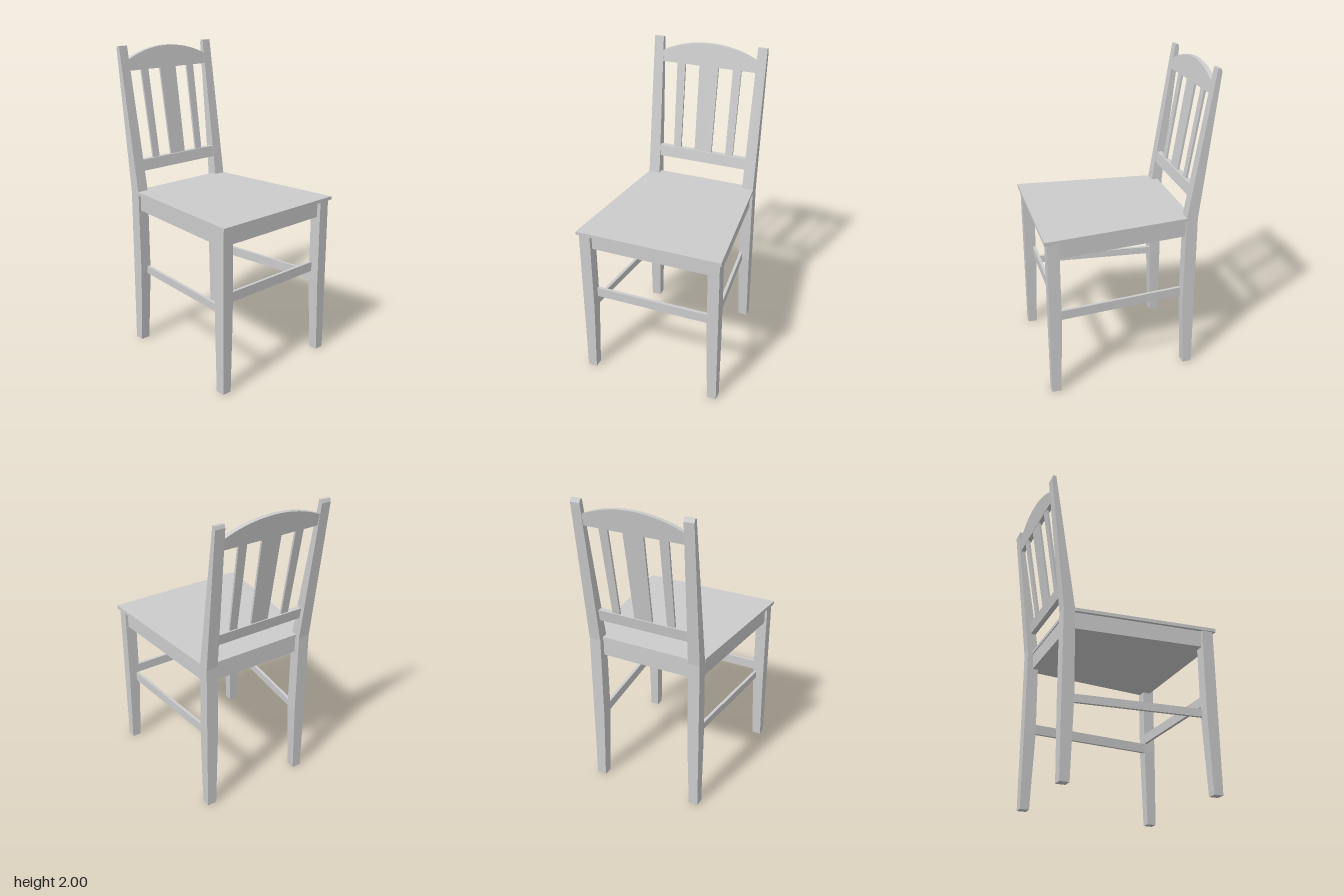
import * as THREE from 'three';

const material = new THREE.MeshStandardMaterial({ color: 0xcccccc, flatShading: true });

// Front face of the leaning backrest at a given height
const lean = (y) => -0.37 - (y - 1.06) * 0.16;

// Solid through matching convex rings of [x, y, z] points, always facing outwards
function loft(rings) {
  const tris = [], n = rings[0].length, last = rings[rings.length - 1];
  for (let r = 0; r + 1 < rings.length; r++) {
    const a = rings[r], b = rings[r + 1];
    for (let i = 0; i < n; i++) {
      const j = (i + 1) % n;
      tris.push([a[i], b[i], b[j]], [a[i], b[j], a[j]]);
    }
  }
  for (let i = 1; i + 1 < n; i++) {
    tris.push([rings[0][0], rings[0][i], rings[0][i + 1]], [last[0], last[i + 1], last[i]]);
  }
  const volume = tris.reduce((sum, t) => {
    const [a, b, c] = t.map((p) => new THREE.Vector3(...p));
    return sum + a.dot(b.cross(c));
  }, 0);
  if (volume < 0) tris.forEach((t) => t.reverse());
  const geometry = new THREE.BufferGeometry();
  geometry.setAttribute('position', new THREE.Float32BufferAttribute(tris.flat(2), 3));
  geometry.computeVertexNormals();
  return geometry;
}

// Level rectangle at height y
const rect = (y, x0, x1, z0, z1) => [[x0, y, z0], [x1, y, z0], [x1, y, z1], [x0, y, z1]];

// Upright rectangle of the leaning back: recess behind its front face and thickness
const leaning = (y0, y1, z0, z1, recess, t) => loft([y0, y1].map((y, i) =>
  rect(y, lean(y) - recess - t, lean(y) - recess, z0[i], z1[i])));

// Level board: one half of an outline of [x, z] points, mirrored in z
function board(half, y, height) {
  const outline = [...half, ...half.map(([x, z]) => [x, -z]).reverse()];
  const shape = new THREE.Shape(outline.map((p) => new THREE.Vector2(...p)));
  return new THREE.ExtrudeGeometry(shape, { depth: height, bevelEnabled: false })
    .rotateX(-Math.PI / 2).translate(0, y, 0);
}

export function createModel() {
  const chair = new THREE.Group();
  chair.name = 'chair';
  const add = (name, geometry) => {
    const mesh = new THREE.Mesh(geometry, material);
    mesh.name = name;
    chair.add(mesh);
    return mesh;
  };

  // Seat board with a tongue between the back posts, on a solid apron block
  add('seat', board([[0.548, 0.473], [-0.37, 0.383], [-0.37, 0.305], [-0.412, 0.305]], 1.048, 0.022));
  add('apron', board([[0.507, 0.387], [0.46, 0.387], [0.46, 0.444], [-0.37, 0.364],
    [-0.37, 0.305], [-0.405, 0.305]], 0.94, 0.108));

  for (const s of [1, -1]) {
    const side = s > 0 ? 'Left' : 'Right';
    const ring = (y, x0, x1, z0, z1) => rect(y, x0, x1, s * z0, s * z1);

    // Front leg, tapering on its inner faces
    add('frontLeg' + side, loft([
      ring(0, 0.472, 0.532, 0.4, 0.46),
      ring(0.5, 0.456, 0.532, 0.386, 0.46),
      ring(1.048, 0.456, 0.532, 0.386, 0.46),
    ]));

    // Rear leg running on into the leaning back post
    add('rearLegAndPost' + side, loft([
      ring(0, -0.443, -0.383, 0.318, 0.381),
      ring(0.5, -0.443, -0.365, 0.304, 0.381),
      ring(1.06, -0.443, lean(1.06), 0.304, 0.381),
      ring(1.98, -0.547, lean(1.98), 0.322, 0.385),
      ring(2, -0.54, lean(2), 0.322, 0.385),
    ]));

    // Thin side stretcher along the inner edges of the legs
    const [low, high] = s > 0 ? [0.487, 0.537] : [0.491, 0.553];
    const bar = (x, z) => [[x, low, s * z], [x, high, s * z], [x, high, s * (z + 0.02)], [x, low, s * (z + 0.02)]];
    add('sideStretcher' + side, loft([bar(-0.38, 0.308), bar(0.47, 0.389)]));

    // Narrow back slat
    add('narrowSlat' + side, leaning(1.26, 1.86, [s * 0.16, s * 0.165], [s * 0.212, s * 0.222], 0.014, 0.014));
  }

  // Thin front stretcher
  add('frontStretcher', new THREE.BoxGeometry(0.02, 0.063, 0.784)).position.set(0.466, 0.588, 0);

  // Wide centre slat and lower back rail
  add('centreSlat', leaning(1.26, 1.86, [-0.06, -0.066], [0.06, 0.066], 0.014, 0.014));
  add('lowerBackRail', leaning(1.197, 1.27, [-0.315, -0.315], [0.315, 0.315], 0.003, 0.034));

  // Arched crest rail, sheared to follow the lean
  const arch = new THREE.Shape();
  arch.moveTo(-0.325, 1.843);
  arch.lineTo(0.325, 1.843);
  arch.lineTo(0.325, 1.912);
  arch.quadraticCurveTo(0.17, 1.986, 0, 1.986);
  arch.quadraticCurveTo(-0.17, 1.986, -0.325, 1.912);
  const crest = new THREE.ExtrudeGeometry(arch, { depth: 0.029, bevelEnabled: false, curveSegments: 12 });
  crest.rotateY(Math.PI / 2);
  const p = crest.attributes.position;
  for (let i = 0; i < p.count; i++) p.setX(i, p.getX(i) + lean(p.getY(i)) - 0.03);
  crest.computeVertexNormals();
  add('crestRail', crest);

  return chair;
}
